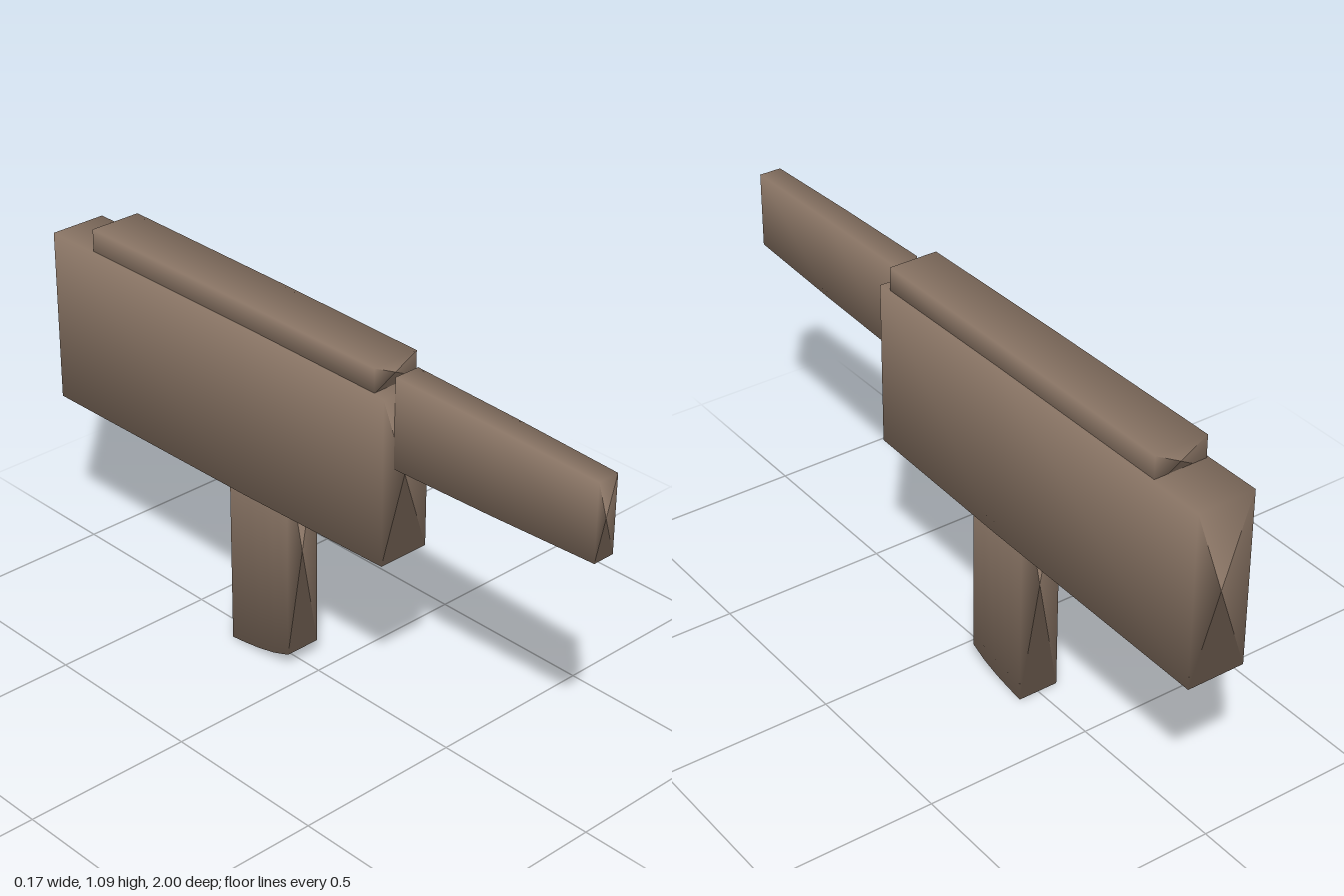
import * as THREE from 'three';

const material = new THREE.MeshStandardMaterial({ color: 0x8a7565 });
const CORNERS = [[1, 1], [-1, 1], [-1, -1], [1, -1]];

// Four-sided loft along z. Sections run front to back as [z, halfWidth, halfHeight];
// the ends are closed by rings collapsed to the axis, with radial normals throughout.
function loft(name, centerY, sections) {
  const first = sections[0], last = sections[sections.length - 1];
  const rings = [[first[0], 0, 0], ...sections, [last[0], 0, 0]];
  const positions = [], normals = [], index = [];
  rings.forEach(([z, hw, hh], i) => {
    CORNERS.forEach(([sx, sy], j) => {
      positions.push(sx * hw, centerY + sy * hh, z);
      normals.push(sx * Math.SQRT1_2, sy * Math.SQRT1_2, 0);
      if (i === rings.length - 1) return;
      const a = i * 4 + j, b = i * 4 + (j + 1) % 4;
      // skip the zero-area triangle at each collapsed end
      if (i > 0) index.push(a, a + 4, b);
      if (i < rings.length - 2) index.push(b, a + 4, b + 4);
    });
  });
  const geometry = new THREE.BufferGeometry();
  geometry.setAttribute('position', new THREE.Float32BufferAttribute(positions, 3));
  geometry.setAttribute('normal', new THREE.Float32BufferAttribute(normals, 3));
  geometry.setIndex(index);
  const mesh = new THREE.Mesh(geometry, material);
  mesh.name = name;
  return mesh;
}

export function createModel() {
  const model = new THREE.Group();
  model.name = 'blaster';
  model.add(
    // tapered barrel at the front
    loft('barrel', 0.928, [[1, 0.033, 0.112], [0.66, 0.037, 0.124], [0.325, 0.04, 0.132]]),
    // deep main body
    loft('body', 0.766, [[0.325, 0.08, 0.245], [-0.2, 0.085, 0.254], [-1, 0.087, 0.259]]),
    // raised rail along the top
    loft('topRail', 1.045, [[0.285, 0.074, 0.036], [-0.2, 0.077, 0.042], [-0.83, 0.08, 0.045]]),
    // grip with a bowed lower end, its top buried in the body
    loft('grip', 0.36, [
      [-0.065, 0.055, 0.315], [-0.12, 0.058, 0.333], [-0.18, 0.06, 0.346],
      [-0.235, 0.061, 0.354], [-0.29, 0.062, 0.36],
    ]),
  );
  return model;
}
